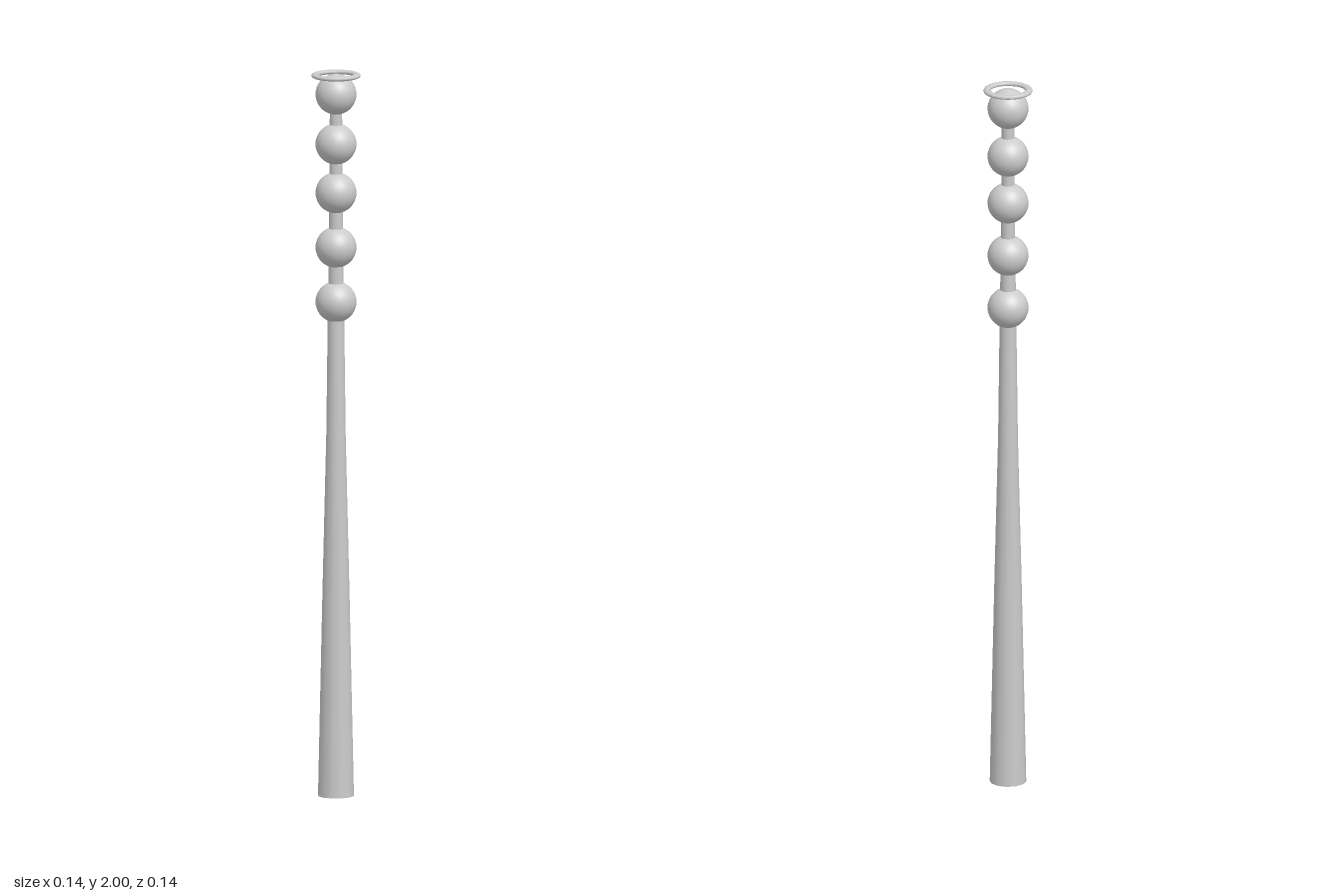
import * as THREE from 'three';

export function createModel() {
  const group = new THREE.Group();
  const material = new THREE.MeshStandardMaterial({ color: 0xcccccc });
  const add = (name, geometry, y = 0) => {
    const mesh = new THREE.Mesh(geometry, material);
    mesh.name = name;
    mesh.position.y = y;
    group.add(mesh);
    return mesh;
  };

  // Tapered shaft running up through the beads
  const profile = [[0.05, 0], [0.038, 0.55], [0.027, 1.0], [0.023, 1.32], [0.021, 1.45], [0.018, 1.75], [0.017, 1.94]];
  add('shaft', new THREE.LatheGeometry(profile.map(([r, y]) => new THREE.Vector2(r, y)), 12));

  // Flat underside of the shaft
  add('shaftBase', new THREE.CircleGeometry(0.05, 12).rotateX(Math.PI / 2));

  // Beads threaded on the upper shaft
  [1.367, 1.518, 1.669, 1.804, 1.942].forEach((y, i) =>
    add('bead' + (i + 1), new THREE.SphereGeometry(0.056, 32, 20), y));

  // Thin flattened ring around the crown of the top bead
  const ring = new THREE.TorusGeometry(0.0575, 0.0105, 10, 20).rotateX(Math.PI / 2).scale(1, 0.6, 1);
  add('topRing', ring, 1.9937);

  return group;
}
